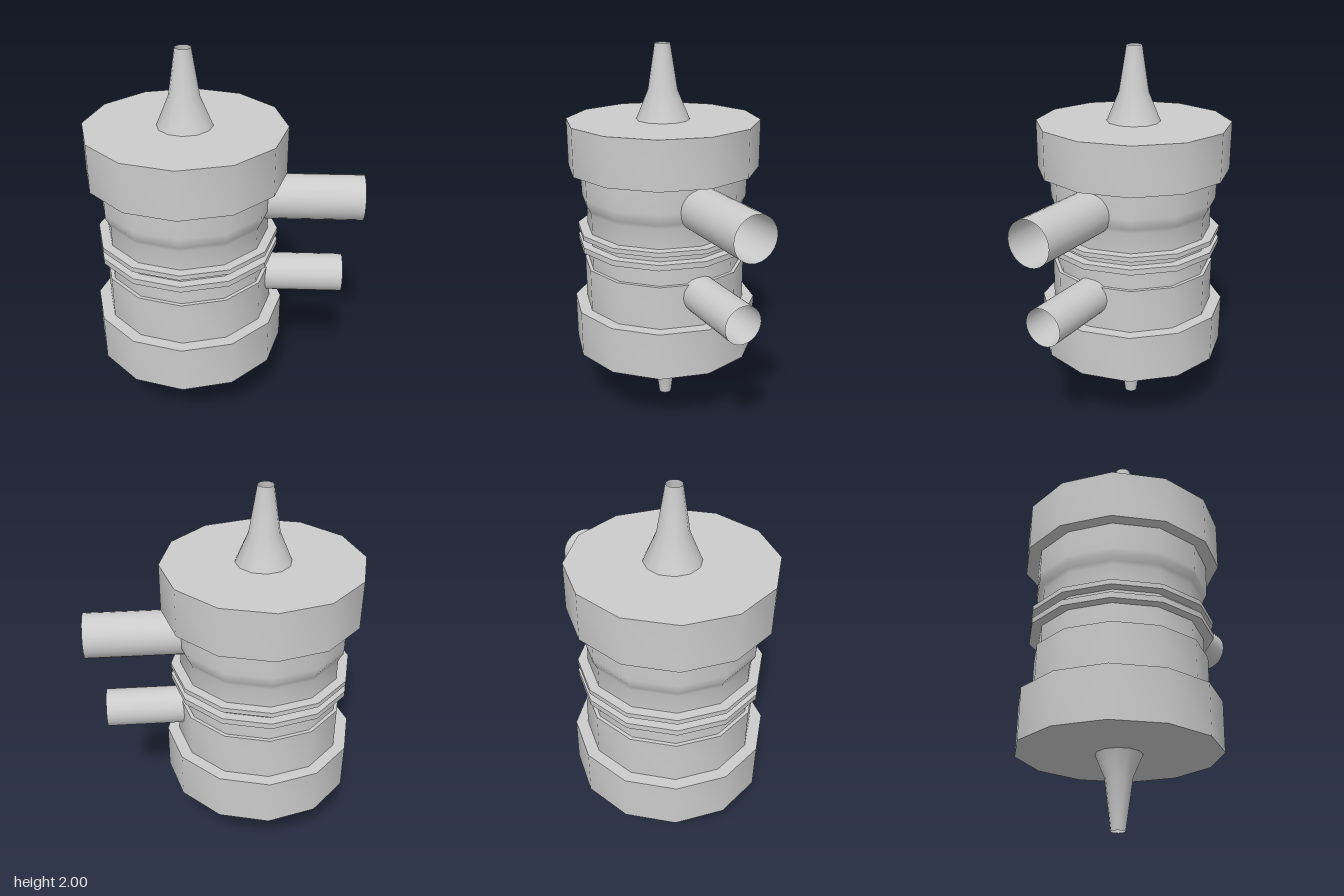
import * as THREE from 'three';
import { toCreasedNormals } from 'three/addons/utils/BufferGeometryUtils.js';

const AXIS_X = -0.197;
const material = new THREE.MeshStandardMaterial({ color: 0xcccccc, side: THREE.DoubleSide });

// Twelve-sided turned part; profile is [radius, y] from bottom to top
function turned(name, profile) {
  const points = profile.map(([r, y]) => new THREE.Vector2(r, y));
  const geometry = toCreasedNormals(new THREE.LatheGeometry(points, 12), 0.7);
  const mesh = new THREE.Mesh(geometry, material);
  mesh.name = name;
  mesh.position.x = AXIS_X;
  return mesh;
}

// Open tube pointing to +x
function sidePipe(name, radius, y, x0, x1) {
  const geometry = new THREE.CylinderGeometry(radius, radius, x1 - x0, 24, 1, true);
  geometry.rotateZ(-Math.PI / 2);
  const mesh = new THREE.Mesh(geometry, material);
  mesh.name = name;
  mesh.position.set((x0 + x1) / 2, y, 0);
  return mesh;
}

export function createModel() {
  const group = new THREE.Group();
  group.name = 'twoPortCanister';

  // Hollow nozzles, open at the tips
  group.add(turned('bottomNozzle', [[0.035, 0], [0.068, 0.25], [0.115, 0.36]]));
  group.add(turned('topNozzle', [[0.14, 1.615], [0.077, 1.765], [0.04, 2]]));

  // End caps, with the nozzle opening left free
  group.add(turned('bottomCap', [[0.115, 0.36], [0.5, 0.36], [0.5, 0.615], [0.437, 0.615]]));
  group.add(turned('topCap', [[0.443, 1.365], [0.507, 1.365], [0.507, 1.615], [0.14, 1.615]]));

  // Two body halves meeting between the flanges
  group.add(turned('lowerBody', [[0.437, 0.615], [0.437, 0.847], [0.418, 0.847], [0.418, 1.0]]));
  group.add(turned('upperBody', [
    [0.418, 1.0], [0.418, 1.15], [0.426, 1.172], [0.441, 1.2], [0.443, 1.23], [0.443, 1.365],
  ]));

  // Thin joining flanges
  [['lowerFlange', 0.95, 0.98], ['upperFlange', 1.02, 1.045]].forEach(([name, y0, y1]) => {
    group.add(turned(name, [[0.418, y0], [0.468, y0], [0.468, y1], [0.418, y1]]));
  });

  // Side ports
  group.add(sidePipe('upperPort', 0.116, 1.235, 0.2, 0.7));
  group.add(sidePipe('lowerPort', 0.1, 0.778, 0.2, 0.62));

  return group;
}
